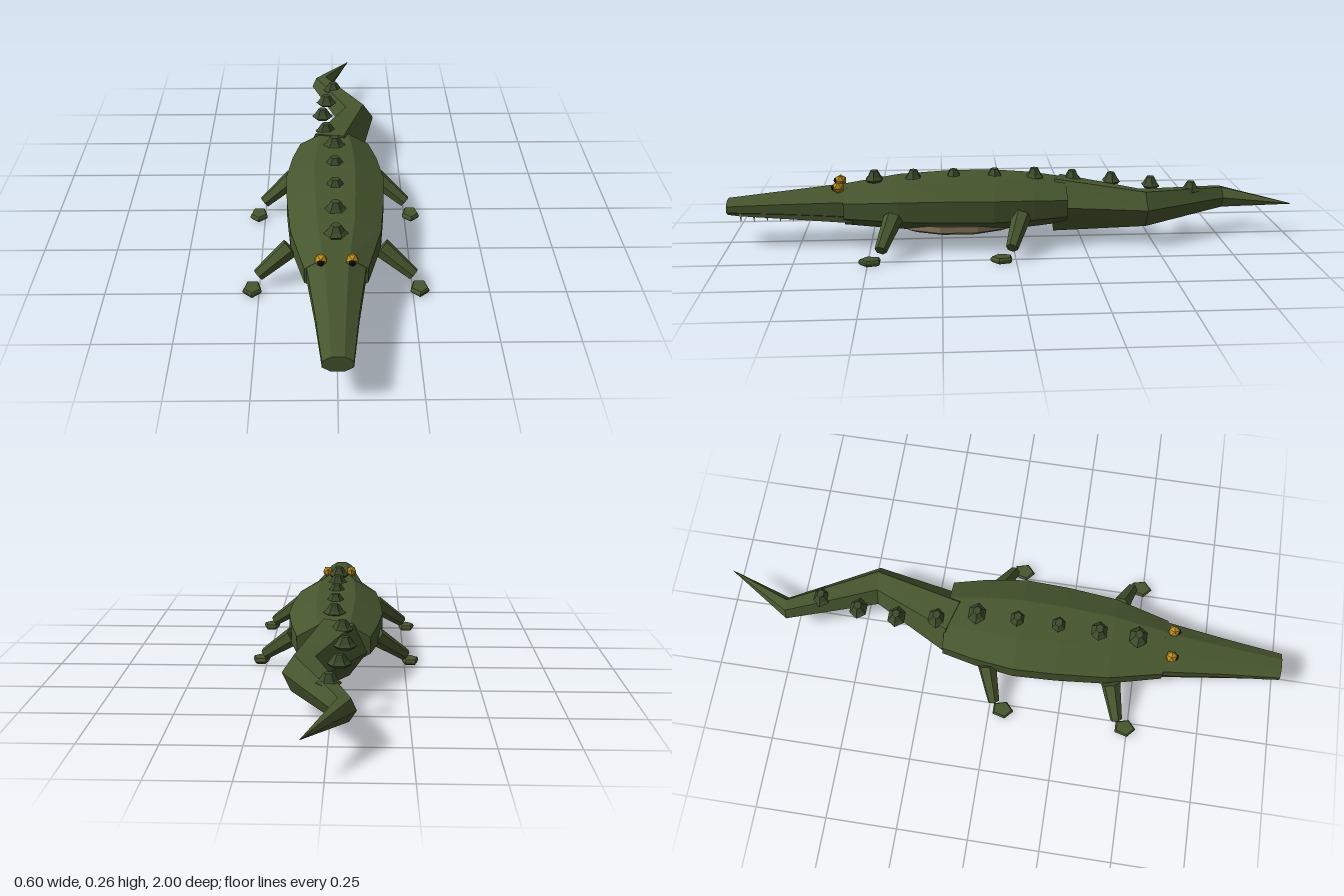
import * as THREE from 'three';

function mat(name, color) {
  const m = new THREE.MeshStandardMaterial({ color, flatShading: true });
  m.name = name;
  return m;
}

// Closed, flat-shaded hull through rings [x, y, z, rx, ry, slope], listed from front to back
function loft(rings, sides, phase) {
  const pos = [];
  const pts = rings.map(([x, y, z, rx, ry, slope = 0]) =>
    Array.from({ length: sides }, (_, j) => {
      const a = phase + (j / sides) * Math.PI * 2;
      const dx = rx * Math.cos(a);
      return [x + dx, y + ry * Math.sin(a), z + dx * slope];
    }));
  const tri = (a, b, c) => pos.push(...a, ...b, ...c);
  const last = rings.length - 1;
  for (let j = 0; j < sides; j++) {
    const k = (j + 1) % sides;
    for (let i = 0; i < last; i++) {
      tri(pts[i][j], pts[i + 1][j], pts[i][k]);
      tri(pts[i][k], pts[i + 1][j], pts[i + 1][k]);
    }
    tri(rings[0].slice(0, 3), pts[0][j], pts[0][k]);
    tri(rings[last].slice(0, 3), pts[last][k], pts[last][j]);
  }
  const g = new THREE.BufferGeometry();
  g.setAttribute('position', new THREE.Float32BufferAttribute(pos, 3));
  g.computeVertexNormals();
  return g;
}

// Ring measured across the flats of an octagon: z, half width, bottom, top
const OCT = Math.PI / 8;
function octRing([z, half, bottom, top]) {
  const k = 1 / Math.cos(OCT);
  return [0, (bottom + top) / 2, z, half * k, ((top - bottom) / 2) * k];
}

const lathe = (points, sides) =>
  new THREE.LatheGeometry(points.map(([x, y]) => new THREE.Vector2(x, y)), sides);

export function createModel() {
  const root = new THREE.Group();
  root.name = 'crocodile';
  const skin = mat('olive skin', 0x46562e);
  const plate = mat('dark plates', 0x3c4b2b);
  const bellyMat = mat('tan belly', 0x8c7d60);
  const toothMat = mat('ivory teeth', 0xcdbd98);
  const gold = mat('gold eye', 0xb98d1e);
  const black = mat('black pupil', 0x0a0a0a);

  const add = (name, geometry, material, x = 0, y = 0, z = 0) => {
    const m = new THREE.Mesh(geometry, material);
    m.name = name;
    m.position.set(x, y, z);
    root.add(m);
    return m;
  };

  // Torso
  add('body', loft([
    [0.59, 0.1, 0.072, 0.2], [0.4, 0.148, 0.058, 0.226], [0.22, 0.164, 0.053, 0.235],
    [0.07, 0.17, 0.052, 0.235], [-0.07, 0.152, 0.058, 0.226], [-0.19, 0.126, 0.068, 0.21],
  ].map(octRing), 8, OCT), skin);

  // Long tapering snout and lower jaw
  add('head', loft([
    [1, 0.045, 0.107, 0.16], [0.8, 0.066, 0.096, 0.18], [0.58, 0.094, 0.08, 0.202],
  ].map(octRing), 8, OCT), skin);
  add('lowerJaw', loft([
    [0.97, 0.042, 0.103, 0.128], [0.56, 0.092, 0.075, 0.13],
  ].map(octRing), 8, OCT), skin);

  // Zigzag tail, each ring turned with the bend
  add('tail', loft([
    [-0.01, 0.125, -0.165, 0.105, 0.108, 0.3],
    [0.088, 0.128, -0.46, 0.068, 0.07, -0.12],
    [-0.047, 0.126, -0.772, 0.039, 0.042, -0.06],
    [0.065, 0.125, -1, 0.001, 0.001, 0],
  ], 6, THREE.MathUtils.degToRad(5)), skin);

  // Shallow belly plate
  add('belly', lathe([[0, 0], [0.85, 0], [1, 0.011], [1, 0.033], [0, 0.033]], 10),
    bellyMat, 0, 0.045, 0.19).scale.set(0.127, 1, 0.215);

  // Row of back plates: x, top height, z
  const scute = lathe([[0, 0], [0.03, 0], [0.04, 0.009], [0.03, 0.018], [0.016, 0.04], [0, 0.04]], 6);
  [
    [0, 0.256, 0.485], [0, 0.256, 0.347], [0, 0.256, 0.205], [0, 0.256, 0.06], [0, 0.256, -0.083],
    [-0.03, 0.238, -0.222], [-0.043, 0.224, -0.366], [-0.028, 0.21, -0.508], [0, 0.196, -0.65],
  ].forEach(([x, top, z]) => {
    const s = add('backPlate', scute, plate, x, top - 0.04, z);
    s.rotation.y = Math.PI / 2;
    s.scale.set(0.85, 1, 1);
  });

  const footGeo = lathe(
    [[0, 0], [0.85, 0], [1, 0.007], [1, 0.013], [0.85, 0.02], [0, 0.02]], 5);
  const up = new THREE.Vector3(0, 1, 0);

  for (const side of [1, -1]) {
    const label = side > 0 ? 'left' : 'right';

    // Eye and pupil
    add(label + 'Eye', new THREE.IcosahedronGeometry(0.022, 0), gold, side * 0.048, 0.209, 0.608);
    add(label + 'Pupil', new THREE.IcosahedronGeometry(0.011, 1), black, side * 0.048, 0.209, 0.622);

    // Teeth along the upper jaw
    for (let i = 0; i < 5; i++) {
      const t = add(label + 'Tooth', new THREE.ConeGeometry(0.006, 0.036, 5), toothMat,
        side * (0.041 + i * 0.002), 0.104, 0.952 - i * 0.046);
      t.rotation.x = Math.PI;
    }

    // Legs slope out and forward to flat feet
    for (const [name, z] of [['Front', 0.42], ['Back', -0.022]]) {
      const a = new THREE.Vector3(side * 0.148, 0.122, z - 0.004);
      const b = new THREE.Vector3(side * 0.254, 0.042, z + 0.036);
      const dir = a.clone().sub(b);
      const leg = add(label + name + 'Leg',
        new THREE.CylinderGeometry(0.034, 0.021, dir.length(), 6), skin);
      leg.position.copy(a).add(b).multiplyScalar(0.5);
      leg.quaternion.setFromUnitVectors(up, dir.normalize());

      const foot = add(label + name + 'Foot', footGeo, skin, side * 0.272, 0, z + 0.07);
      foot.scale.set(0.032, 1, 0.04);
    }
  }
  return root;
}
